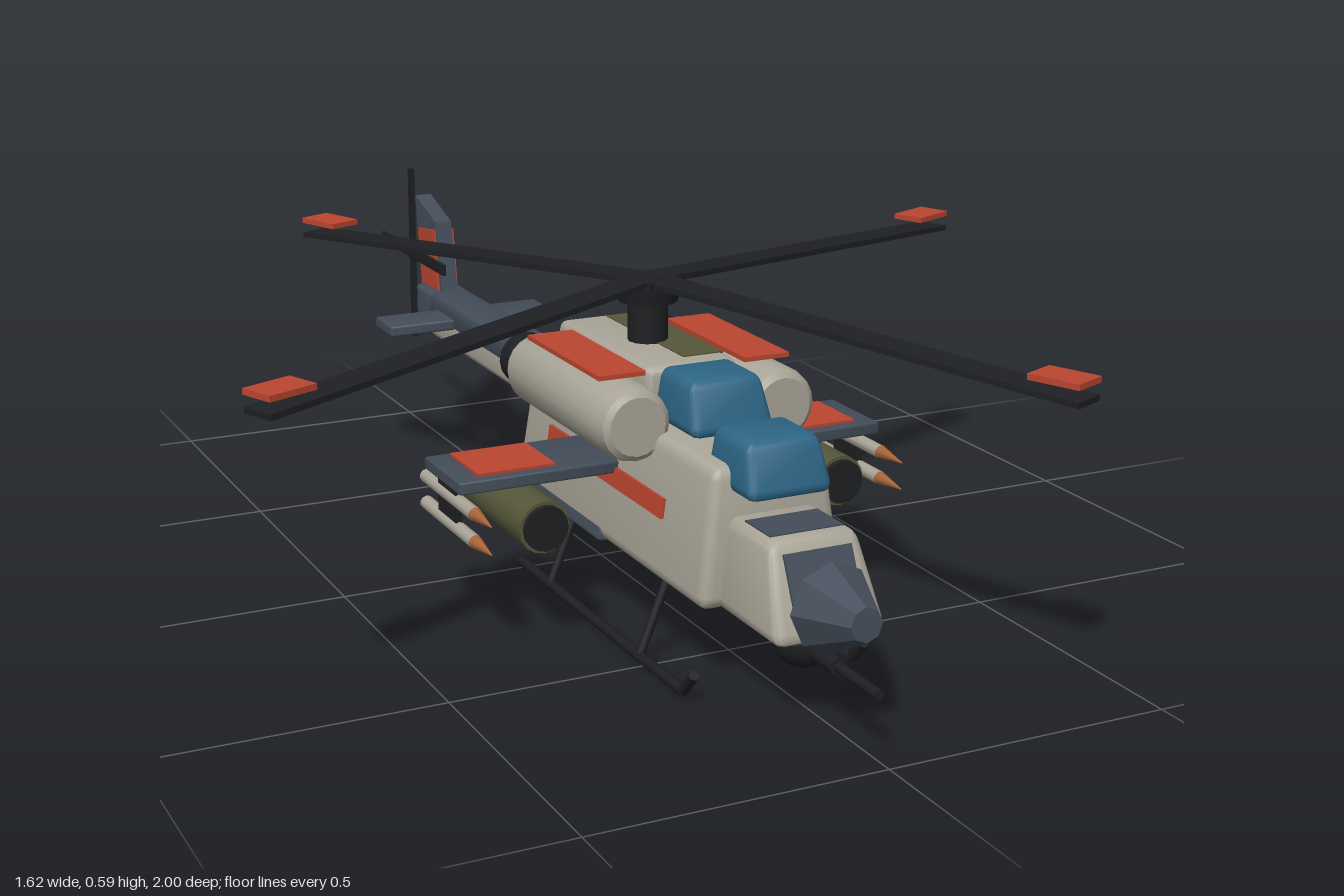
import * as THREE from 'three';
import { toCreasedNormals } from 'three/addons/utils/BufferGeometryUtils.js';
import { RoundedBoxGeometry } from 'three/addons/geometries/RoundedBoxGeometry.js';

const paint = (color, flatShading = false) => new THREE.MeshStandardMaterial({ color, flatShading });
const LIGHT = paint(0xaaa598), SLATE = paint(0x434d59), OLIVE = paint(0x55563a), ORANGE = paint(0xbb4630);
const GLASS = paint(0x2d6585), BLACK = paint(0x1f2023), COPPER = paint(0xa8643a), FACET = paint(0x434d59, true);

export function createModel() {
  const model = new THREE.Group();

  const add = (name, geo, mat, x = 0, y = 0, z = 0, parent = model) => {
    const m = new THREE.Mesh(geo, mat);
    m.name = name;
    m.position.set(x, y, z);
    parent.add(m);
    return m;
  };
  // plain box from its size and centre
  const box = (name, mat, [w, h, d], [x, y, z], parent) =>
    add(name, new THREE.BoxGeometry(w, h, d), mat, x, y, z, parent);
  // rounded box, warped by a rule; u, v, w run 0..1 across x, y, z
  const block = (name, mat, [w, h, d], [x, y, z], r, warp = () => {}) => {
    const geo = new RoundedBoxGeometry(w, h, d, 2, r);
    const pos = geo.attributes.position, p = new THREE.Vector3();
    for (let i = 0; i < pos.count; i++) {
      p.fromBufferAttribute(pos, i);
      warp(p, p.x / w + 0.5, p.y / h + 0.5, p.z / d + 0.5);
      pos.setXYZ(i, p.x, p.y, p.z);
    }
    return add(name, toCreasedNormals(geo, 0.6), mat, x, y, z);
  };
  // cylinder along z, front radius first
  const barrel = (name, mat, rFront, rBack, z0, z1, x, y, sides = 16) =>
    add(name, new THREE.CylinderGeometry(rFront, rBack, z1 - z0, sides).rotateX(Math.PI / 2), mat, x, y, (z0 + z1) / 2);
  // round bar between two points
  const rod = (name, mat, a, b, r) => {
    const va = new THREE.Vector3(...a), vb = new THREE.Vector3(...b), dir = vb.clone().sub(va);
    const m = add(name, new THREE.CylinderGeometry(r, r, dir.length(), 8), mat);
    m.position.copy(va).lerp(vb, 0.5);
    m.quaternion.setFromUnitVectors(new THREE.Vector3(0, 1, 0), dir.normalize());
  };
  // plate cut from a side outline of [z, y] points
  const plate = (name, mat, points, thick) => {
    const shape = new THREE.Shape(points.map(([z, y]) => new THREE.Vector2(z, y)));
    const geo = new THREE.ExtrudeGeometry(shape, { depth: thick, bevelEnabled: false });
    add(name, geo.translate(0, 0, -thick / 2).rotateY(-Math.PI / 2), mat);
  };

  // fuselage, narrower toward the top
  block('fuselage', LIGHT, [0.265, 0.23, 0.74], [0, 0.255, 0.28], 0.022, (p, u, v) => {
    p.x *= 1 - 0.23 * v;
    p.z *= 1 - 0.05 * v;
  });
  block('bellyPanel', SLATE, [0.27, 0.03, 0.37], [0, 0.151, 0.094], 0.01, (p, u, v) => { p.x *= 1 - 0.03 * v; });
  box('bellyPanelFront', SLATE, [0.22, 0.006, 0.36], [0, 0.138, 0.44]);
  const rear = box('rearPanel', SLATE, [0.215, 0.09, 0.006], [0, 0.205, -0.086]);
  rear.rotation.x = 0.08;
  block('engineDeck', LIGHT, [0.17, 0.1, 0.36], [0, 0.41, 0.18], 0.015);
  box('deckPatch', OLIVE, [0.075, 0.004, 0.3], [0.04, 0.46, 0.17]);
  box('rearDeckPatch', OLIVE, [0.075, 0.004, 0.06], [0.04, 0.37, -0.03]);

  // nose with sloping front
  block('nose', LIGHT, [0.2, 0.15, 0.22], [0, 0.215, 0.725], 0.02, (p, u, v, w) => {
    p.x *= 1 - 0.22 * v;
    p.z -= 0.07 * v * w;
  });
  box('noseTopPanel', SLATE, [0.13, 0.006, 0.08], [0, 0.289, 0.705]);
  const face = box('noseFrontPanel', SLATE, [0.12, 0.12, 0.006], [0, 0.217, 0.801]);
  face.rotation.x = -0.44;
  add('noseCone', new THREE.CylinderGeometry(0.028, 0.074, 0.1, 8).rotateX(Math.PI / 2), FACET, 0, 0.197, 0.875)
    .rotation.x = -0.08;

  // chin turret and gun
  add('turret', new THREE.SphereGeometry(0.05, 16, 12), BLACK, 0, 0.115, 0.74);
  barrel('gunBarrel', BLACK, 0.009, 0.009, 0.76, 0.965, 0, 0.105, 8);
  barrel('gunSleeve', BLACK, 0.015, 0.015, 0.76, 0.85, 0, 0.105, 8);

  // two stepped canopies
  [[0.373, 0.625, 'frontCanopy'], [0.421, 0.435, 'rearCanopy']].forEach(([y, z, name]) =>
    block(name, GLASS, [0.155, 0.09, 0.155], [0, y, z], 0.018, (p, u, v, w) => {
      p.x *= 1 - 0.17 * v;
      p.z -= 0.035 * v * w - 0.008 * v * (1 - w);
    }));

  // tail boom in two tones
  const slim = (p, u, v, w) => { p.x *= 0.9 + 0.1 * w; };
  block('tailBoomLower', LIGHT, [0.09, 0.06, 0.78], [0, 0.273, -0.44], 0.014, slim);
  block('tailBoomRoot', LIGHT, [0.088, 0.07, 0.16], [0, 0.3, -0.13], 0.014);
  block('tailBoomUpper', SLATE, [0.092, 0.055, 0.63], [0, 0.31, -0.518], 0.014, slim);
  block('tailEnd', SLATE, [0.085, 0.095, 0.1], [0, 0.29, -0.785], 0.012);
  block('tailplane', SLATE, [0.355, 0.022, 0.095], [0, 0.298, -0.66], 0.005);
  plate('tailFin', SLATE, [[-0.735, 0.32], [-0.82, 0.23], [-0.845, 0.23], [-0.885, 0.515], [-0.77, 0.478]], 0.035);
  plate('tailFinPanel', ORANGE, [[-0.75, 0.335], [-0.842, 0.335], [-0.862, 0.45], [-0.77, 0.462]], 0.045);

  // tail rotor on the right
  const tailRotor = new THREE.Group();
  tailRotor.name = 'tailRotor';
  tailRotor.position.set(-0.05, 0.407, -0.82);
  model.add(tailRotor);
  box('tailBladeVertical', BLACK, [0.007, 0.36, 0.022], [0, 0, 0], tailRotor);
  box('tailBladeHorizontal', BLACK, [0.007, 0.022, 0.36], [0, 0, 0], tailRotor);
  add('tailRotorHub', new THREE.CylinderGeometry(0.02, 0.02, 0.05, 10).rotateZ(Math.PI / 2), BLACK, 0.022, 0, 0, tailRotor);

  // main rotor: drooping blades with raised tip panels
  const rotor = new THREE.Group();
  rotor.name = 'mainRotor';
  rotor.position.set(0, 0, 0.19);
  model.add(rotor);
  add('mast', new THREE.CylinderGeometry(0.035, 0.035, 0.1, 12), BLACK, 0, 0.495, 0, rotor);
  add('rotorHub', new THREE.CylinderGeometry(0.058, 0.052, 0.03, 12), BLACK, 0, 0.545, 0, rotor);
  box('rotorCap', BLACK, [0.08, 0.012, 0.08], [0, 0.564, 0], rotor).rotation.y = 0.395;
  const length = 0.864;
  for (let i = 0; i < 4; i++) {
    const arm = new THREE.Group();
    arm.name = 'rotorArm';
    arm.rotation.y = 0.395 + i * Math.PI / 2;
    rotor.add(arm);
    box('rotorBlade', BLACK, [length, 0.01, 0.06], [length / 2, 0.544, 0], arm).rotation.z = -0.055;
    box('bladeTip', ORANGE, [0.09, 0.01, 0.062], [length - 0.045, 0.549, 0], arm);
  }

  // mirrored parts
  const engineProfile = [[0, 0.43], [0.05, 0.43], [0.06, 0.422], [0.064, 0.405], [0.064, 0.04], [0.056, 0.02], [0, 0.02]]
    .map(([r, z]) => new THREE.Vector2(r, z)).reverse();
  const engine = toCreasedNormals(new THREE.LatheGeometry(engineProfile, 20).rotateX(Math.PI / 2), 0.6);
  for (const s of [1, -1]) {
    const side = s > 0 ? 'left' : 'right';
    add(side + 'Engine', engine, LIGHT, s * 0.135, 0.386, 0);
    barrel(side + 'Exhaust', BLACK, 0.048, 0.048, -0.03, 0.05, s * 0.137, 0.388);
    box(side + 'EnginePanel', ORANGE, [0.085, 0.008, 0.29], [s * 0.135, 0.457, 0.225]);
    box(side + 'Stripe', ORANGE, [0.014, 0.034, 0.45], [s * 0.115, 0.262, 0.265]).rotation.z = s * 0.13;

    // stub wing and its stores
    block(side + 'Wing', SLATE, [0.3, 0.022, 0.16], [s * 0.25, 0.28, 0.23], 0.004);
    box(side + 'WingPanel', ORANGE, [0.14, 0.008, 0.125], [s * 0.29, 0.292, 0.228]);
    box(side + 'Pylon', BLACK, [0.02, 0.03, 0.09], [s * 0.28, 0.262, 0.23]);
    barrel(side + 'RocketPod', OLIVE, 0.045, 0.045, 0.1, 0.38, s * 0.28, 0.22);
    barrel(side + 'PodMouth', BLACK, 0.039, 0.039, 0.37, 0.39, s * 0.28, 0.22);
    for (const y of [0.246, 0.198]) {
      barrel(side + 'Missile', LIGHT, 0.012, 0.012, 0.12, 0.34, s * 0.386, y, 10);
      barrel(side + 'MissileTip', COPPER, 0.001, 0.012, 0.34, 0.41, s * 0.386, y, 10);
    }
    box(side + 'MissileRail', BLACK, [0.012, 0.07, 0.08], [s * 0.386, 0.235, 0.23]);

    // landing skid
    rod(side + 'Skid', BLACK, [s * 0.155, 0.009, -0.01], [s * 0.155, 0.009, 0.64], 0.009);
    rod(side + 'SkidToe', BLACK, [s * 0.155, 0.009, 0.635], [s * 0.155, 0.05, 0.672], 0.009);
    for (const z of [0.12, 0.48])
      rod(side + 'SkidStrut', BLACK, [s * 0.155, 0.01, z], [s * 0.1, 0.15, z], 0.008);
  }
  return model;
}
